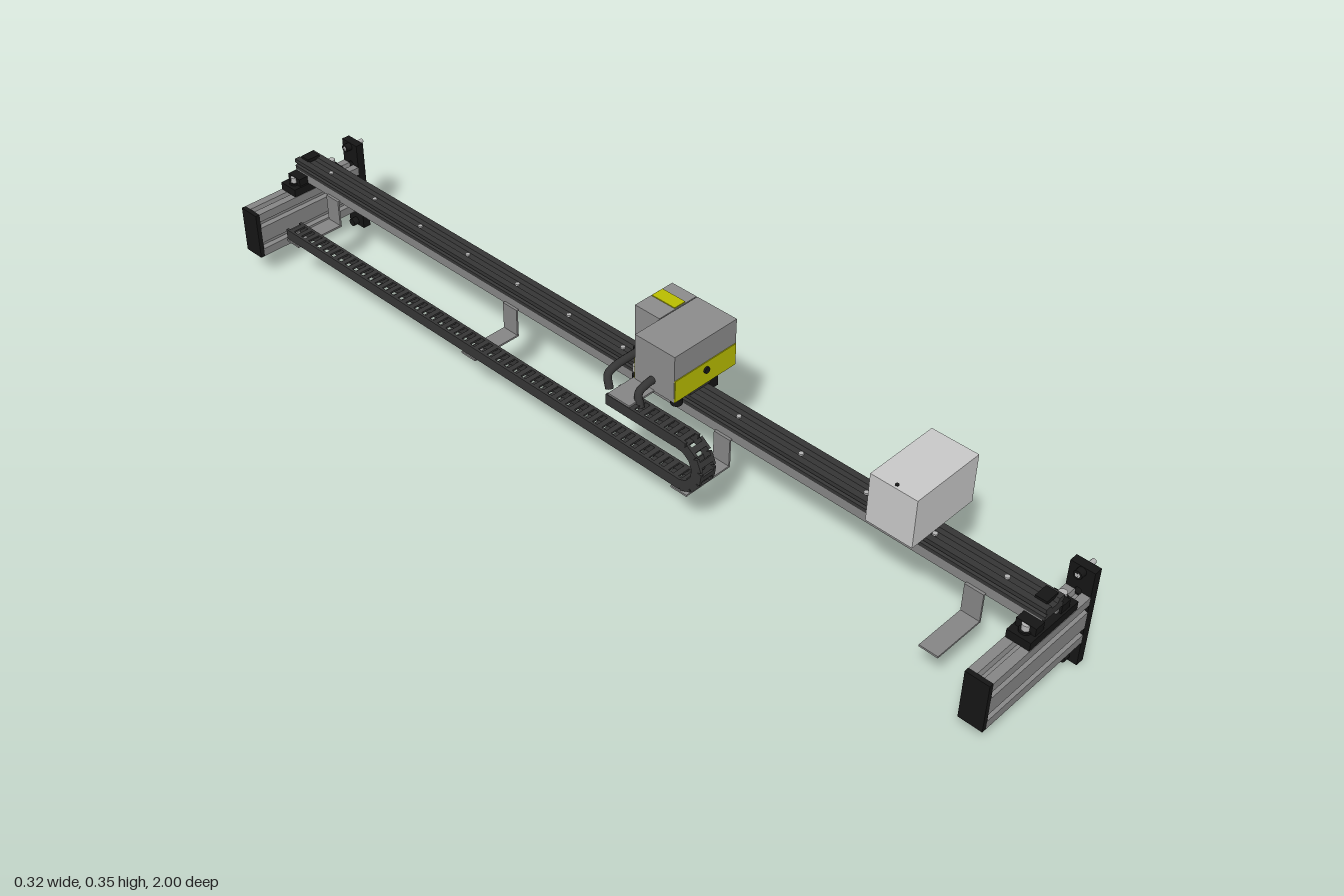
import * as THREE from 'three';

const mat = (name, color, side = THREE.FrontSide) => {
  const m = new THREE.MeshStandardMaterial({ color, side });
  m.name = name;
  return m;
};

export function createModel() {
  const root = new THREE.Group();
  root.name = 'linearRailGantry';
  const black = mat('black', 0x151515);
  const dark = mat('darkRail', 0x353535);
  const grey = mat('aluminium', 0x858585);
  const housing = mat('housingGrey', 0x8c8c8c, THREE.DoubleSide);
  const light = mat('lightCover', 0xc8c8c8, THREE.DoubleSide);
  const steel = mat('steel', 0xb4b4b4);
  const yellow = mat('yellow', 0xb9bd00);

  const add = (parent, name, geo, m) => {
    const mesh = new THREE.Mesh(geo, m);
    mesh.name = name;
    parent.add(mesh);
    return mesh;
  };
  // box given by its limits on each axis
  const box = (parent, name, m, x0, x1, y0, y1, z0, z1) => {
    const b = add(parent, name, new THREE.BoxGeometry(x1 - x0, y1 - y0, z1 - z0), m);
    b.position.set((x0 + x1) / 2, (y0 + y1) / 2, (z0 + z1) / 2);
    return b;
  };
  const rod = (parent, name, m, r, len, axis, x, y, z) => {
    const geo = new THREE.CylinderGeometry(r, r, len, 16);
    if (axis === 'x') geo.rotateZ(Math.PI / 2);
    if (axis === 'z') geo.rotateX(Math.PI / 2);
    const c = add(parent, name, geo, m);
    c.position.set(x, y, z);
    return c;
  };
  const extrude = (pts, depth, holes = []) => {
    const s = new THREE.Shape(pts.map(p => new THREE.Vector2(p[0], p[1])));
    for (const [x, y, r] of holes) s.holes.push(new THREE.Path().absarc(x, y, r, 0, Math.PI * 2, true));
    return new THREE.ExtrudeGeometry(s, { depth, bevelEnabled: false, curveSegments: 8 });
  };

  // ---- end supports, mirrored front and back ----
  const h = 0.054, d = 0.025;
  const half = [[-d, -h], [-0.007, -h], [-0.004, -h + 0.01], [0.004, -h + 0.01], [0.007, -h], [d, -h]];
  for (const c of [-0.027, 0.027]) half.push([d, c - 0.008], [d - 0.01, c - 0.005], [d - 0.01, c + 0.005], [d, c + 0.008]);
  const beamProfile = half.concat(half.map(([x, y]) => [-x, -y]));
  for (const s of [1, -1]) {
    const end = new THREE.Group();
    end.name = s > 0 ? 'frontSupport' : 'backSupport';
    const zc = s * 0.975;
    const beam = add(end, 'crossBeam', extrude(beamProfile, 0.275).rotateY(Math.PI / 2), grey);
    beam.position.set(-0.151, 0.111, zc);
    box(end, 'beamEndCap', black, -0.161, -0.151, 0.057, 0.165, zc - 0.025, zc + 0.025);
    const plate = add(end, 'uprightPlate', extrude(
      [[-0.025, 0.002], [0.025, 0.002], [0.025, 0.22], [-0.025, 0.22]], 0.019,
      [[0, 0.055, 0.007], [0, 0.11, 0.007], [0, 0.165, 0.007]]).rotateY(Math.PI / 2), black);
    plate.position.set(0.124, 0, zc);
    for (const [y, m] of [[0.012, black], [0.21, steel]]) {
      rod(end, 'plateBolt', m, 0.005, 0.05, 'x', 0.135, y, zc);
      rod(end, 'plateBoltHead', black, 0.009, 0.014, 'x', 0.117, y, zc);
    }
    // clamp that holds the rail on the beam
    box(end, 'railClampBase', black, -0.052, 0.085, 0.165, 0.183, zc - 0.024, zc + 0.024);
    for (const x of [-0.033, 0.071]) {
      rod(end, 'clampWasher', black, 0.012, 0.004, 'y', x, 0.185, zc);
      rod(end, 'clampBolt', steel, 0.008, 0.014, 'y', x, 0.192, zc);
    }
    for (const x of [-0.022, 0.052]) box(end, 'railClampJaw', black, x - 0.012, x + 0.012, 0.183, 0.2, zc - 0.02, zc + 0.02);
    box(end, 'railStop', black, 0.0, 0.032, 0.225, 0.233, zc - 0.012, zc + 0.012);
    root.add(end);
  }

  // ---- long rail ----
  const rail = new THREE.Group();
  rail.name = 'rail';
  const railTop = add(rail, 'railTop', extrude([
    [-0.012, 0.203], [0.04, 0.203], [0.04, 0.211], [0.034, 0.215], [0.04, 0.219], [0.04, 0.228],
    [0.026, 0.228], [0.022, 0.22], [0.006, 0.22], [0.002, 0.228], [-0.012, 0.228],
    [-0.012, 0.219], [-0.006, 0.215], [-0.012, 0.211]], 1.99), dark);
  railTop.position.z = -0.995;
  const channel = add(rail, 'railChannel', extrude([
    [-0.012, 0.183], [-0.006, 0.183], [-0.006, 0.197], [0.034, 0.197], [0.034, 0.183],
    [0.04, 0.183], [0.04, 0.203], [-0.012, 0.203]], 1.98), grey);
  channel.position.z = -0.99;
  for (let z = -0.9; z < 0.95; z += 0.15) rod(rail, 'railScrew', steel, 0.005, 0.003, 'y', 0.014, 0.2215, z);
  root.add(rail);

  // ---- brackets carrying the cable chain ----
  for (const z of [-0.862, -0.29, 0.288, 0.86]) {
    const b = new THREE.Group();
    b.name = 'chainBracket';
    box(b, 'bracketFoot', grey, -0.133, -0.014, 0.121, 0.125, z - 0.02, z + 0.02);
    box(b, 'bracketWall', grey, -0.018, -0.014, 0.125, 0.187, z - 0.02, z + 0.02);
    box(b, 'bracketFlange', grey, -0.018, 0.03, 0.183, 0.187, z - 0.02, z + 0.02);
    root.add(b);
  }

  // ---- cable chain: links along a U-shaped path ----
  const chain = new THREE.Group();
  chain.name = 'cableChain';
  const yLow = 0.139, yHigh = 0.232, r = (yHigh - yLow) / 2, zBend = 0.282;
  const zStart = -0.88, zEnd = 0.1, run = zBend - zStart;
  const total = run + Math.PI * r + zBend - zEnd;
  const count = Math.round(total / 0.025), pitch = total / count;
  for (let i = 0; i < count; i++) {
    const t = (i + 0.5) * pitch;
    const link = new THREE.Group();
    link.name = 'chainLink';
    let a = 0, y = yLow, z = zStart + t;
    if (t > run + Math.PI * r) {
      a = Math.PI; y = yHigh; z = zBend - (t - run - Math.PI * r);
    } else if (t > run) {
      a = (t - run) / r;
      y = yLow + r - r * Math.cos(a);
      z = zBend + r * Math.sin(a);
    }
    for (const x of [-0.017, 0.017]) box(link, 'linkSide', dark, x - 0.003, x + 0.003, -0.012, 0.012, -pitch * 0.54, pitch * 0.54);
    for (const v of [-0.01, 0.01]) box(link, 'linkBar', dark, -0.015, 0.015, v - 0.002, v + 0.002, -0.006, 0.006);
    link.position.set(-0.112, y, z);
    link.rotation.x = -a;
    chain.add(link);
  }
  root.add(chain);

  // ---- carriage on the rail ----
  const carriage = new THREE.Group();
  carriage.name = 'carriage';
  box(carriage, 'carriageBlock', dark, -0.01, 0.045, 0.229, 0.246, 0.06, 0.2);
  box(carriage, 'chainArm', grey, -0.132, 0.1, 0.2455, 0.2495, 0.105, 0.16);
  for (const z of [0.08, 0.18]) {
    box(carriage, 'rollerHolder', black, 0.046, 0.072, 0.205, 0.243, z - 0.015, z + 0.015);
    rod(carriage, 'roller', black, 0.012, 0.014, 'y', -0.026, 0.215, z);
    rod(carriage, 'rollerNut', steel, 0.008, 0.014, 'y', -0.03, 0.239, z);
  }
  root.add(carriage);

  // cover with an open underside
  const cover = (name, m, x0, x1, y0, y1, z0, z1) => {
    const g = new THREE.Group();
    g.name = name;
    const t = 0.003;
    box(g, 'coverTop', m, x0, x1, y1 - t, y1, z0, z1);
    box(g, 'coverFront', m, x0, x1, y0, y1 - t, z1 - t, z1);
    box(g, 'coverBack', m, x0, x1, y0, y1 - t, z0, z0 + t);
    box(g, 'coverLeft', m, x1 - t, x1, y0, y1 - t, z0 + t, z1 - t);
    box(g, 'coverRight', m, x0, x0 + t, y0, y1 - t, z0 + t, z1 - t);
    root.add(g);
    return g;
  };

  // ---- main housing ----
  const main = cover('mainHousing', housing, -0.066, 0.101, 0.247, 0.352, 0.11, 0.21);
  box(main, 'frontPanel', yellow, -0.065, 0.1, 0.248, 0.297, 0.21, 0.212);
  rod(main, 'frontButton', black, 0.007, 0.006, 'z', 0.018, 0.28, 0.213);
  box(main, 'backPanel', yellow, -0.065, -0.003, 0.248, 0.297, 0.108, 0.11);
  rod(main, 'sidePort', black, 0.011, 0.004, 'x', 0.102, 0.3, 0.168);
  for (let i = 0; i < 7; i++) box(main, 'ventSlit', yellow, 0.101, 0.102, 0.26 + i * 0.012, 0.266 + i * 0.012, 0.116, 0.146);

  // ---- small rear housing ----
  const rear = cover('rearHousing', housing, 0, 0.101, 0.247, 0.352, 0.045, 0.108);
  box(rear, 'topStripe', yellow, 0.043, 0.072, 0.352, 0.354, 0.047, 0.106);
  rod(rear, 'cableGland', black, 0.012, 0.024, 'x', -0.012, 0.272, 0.075);
  rod(rear, 'glandNut', steel, 0.014, 0.01, 'x', -0.005, 0.272, 0.075);

  // ---- cables from housings to chain ----
  for (const [x, z] of [[-0.02, 0.075], [-0.06, 0.155]]) {
    const path = new THREE.CatmullRomCurve3([
      new THREE.Vector3(x, 0.272, z), new THREE.Vector3(-0.085, 0.269, z),
      new THREE.Vector3(-0.102, 0.26, z), new THREE.Vector3(-0.108, 0.235, z + 0.01)]);
    add(root, 'cable', new THREE.TubeGeometry(path, 20, 0.008, 10), dark);
  }

  // ---- light front cover ----
  const front = cover('lightCover', light, -0.067, 0.101, 0.247, 0.352, 0.66, 0.76);
  for (const z of [0.685, 0.735]) rod(front, 'coverFoot', steel, 0.007, 0.012, 'y', 0.09, 0.244, z);
  rod(front, 'coverHole', black, 0.004, 0.002, 'x', 0.101, 0.3, 0.71);
  rod(front, 'coverHole', black, 0.004, 0.002, 'y', -0.058, 0.352, 0.71);

  return root;
}
